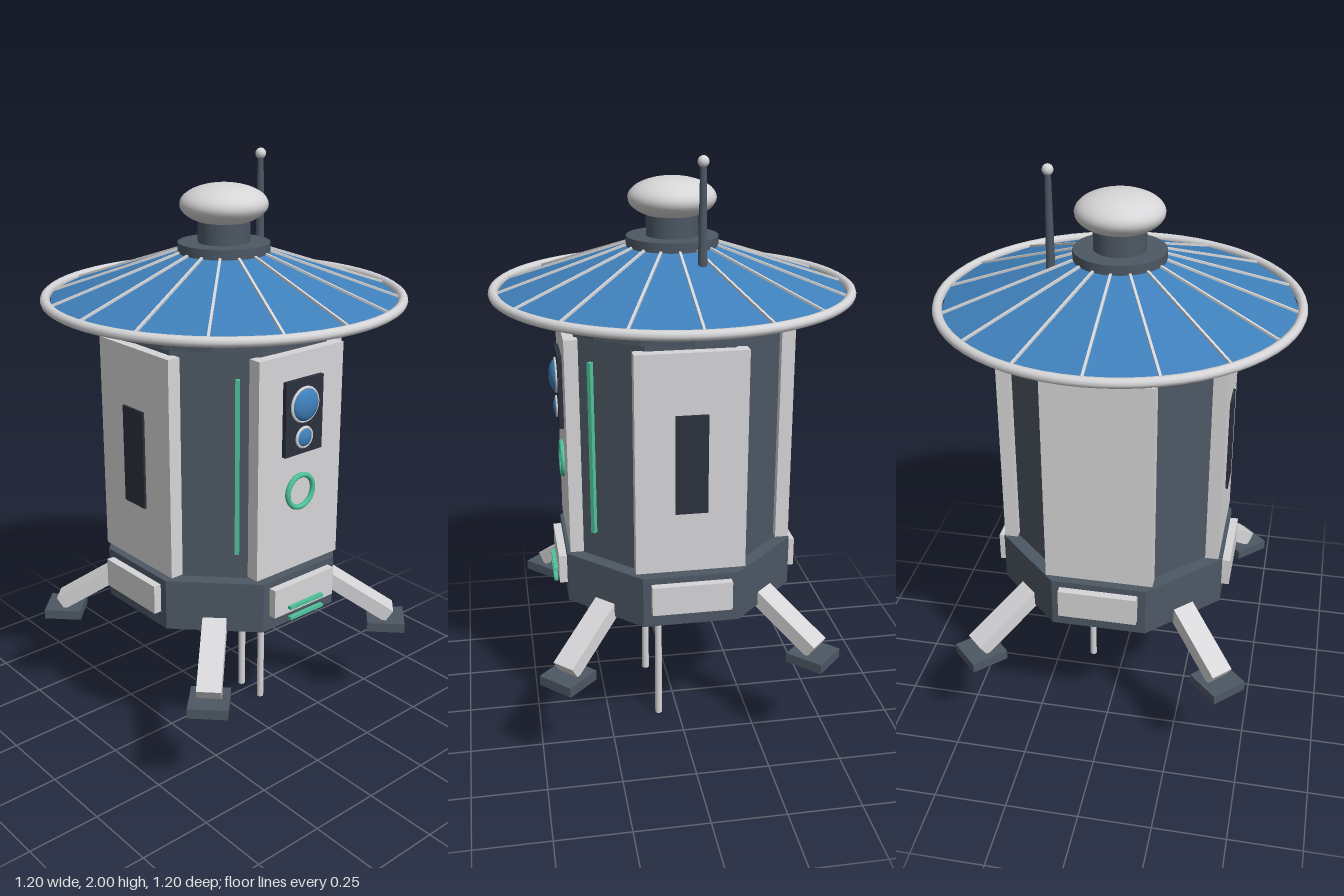
import * as THREE from 'three';

const mat = (name, color) => {
  const m = new THREE.MeshStandardMaterial({ color });
  m.name = name;
  return m;
};

export function createModel() {
  const model = new THREE.Group();
  model.name = 'fieldStation';

  const light = mat('lightGrey', 0xd6d6d8);
  const dark = mat('slateGrey', 0x4d5864);
  const black = mat('darkGlass', 0x2b313d);
  const blue = mat('solarBlue', 0x3f80bb);
  const green = mat('signalGreen', 0x4fc39b);

  const add = (name, geo, material, x = 0, y = 0, z = 0, parent = model) => {
    const m = new THREE.Mesh(geo, material);
    m.name = name;
    m.position.set(x, y, z);
    parent.add(m);
    return m;
  };
  const box = (w, h, d) => new THREE.BoxGeometry(w, h, d);
  const cyl = (rTop, rBottom, h, sides = 24) => new THREE.CylinderGeometry(rTop, rBottom, h, sides);
  const flat = (geo) => {
    const g = geo.toNonIndexed();
    g.computeVertexNormals();
    return g;
  };
  // Octagonal prism with a flat side facing the front
  const octagon = (apothem, h) => {
    const r = apothem / Math.cos(Math.PI / 8);
    return flat(cyl(r, r, h, 8).rotateY(Math.PI / 8));
  };
  // Group turned about the vertical axis, so its +z points outward
  const spoke = (name, angle) => {
    const g = new THREE.Group();
    g.name = name;
    g.rotation.y = angle;
    model.add(g);
    return g;
  };

  // Hull
  add('base', octagon(0.385, 0.175), dark, 0, 0.6025, 0);
  add('body', octagon(0.34, 0.79), dark, 0, 1.075, 0);
  add('collar', flat(cyl(0.41, 0.41, 0.068, 16)), dark, 0, 1.503, 0);

  // Wall panels and base boxes on four sides, windows on the two flanks
  for (let i = 0; i < 4; i++) {
    const side = spoke('side', i * Math.PI / 2);
    add('wallPanel', box(0.36, 0.735, 0.045), light, 0, 1.0725, 0.3525, side);
    add('baseBox', box(0.265, 0.1, 0.04), light, 0, 0.618, 0.392, side);
    if (i % 2) add('sideWindow', box(0.105, 0.33, 0.009), black, 0, 1.075, 0.3785, side);
  }

  // Green light strips on the front corners
  for (const s of [-1, 1]) {
    const corner = spoke('frontCorner', s * Math.PI / 4);
    add('lightStrip', box(0.014, 0.59, 0.02), green, -s * 0.07, 1.075, 0.345, corner);
  }

  // Front instruments
  add('instrumentPlate', box(0.16, 0.247, 0.018), black, 0, 1.233, 0.381);
  for (const [r, y] of [[0.055, 1.272], [0.032, 1.163]]) {
    const lens = add('lens', new THREE.SphereGeometry(r, 24, 16), blue, 0, y, 0.389);
    lens.scale.z = 0.48;
    add('lensRing', new THREE.TorusGeometry(r, 0.0055, 8, 32), light, 0, y, 0.391);
  }
  add('statusRing', new THREE.TorusGeometry(0.055, 0.009, 10, 40), green, 0, 0.975, 0.38);
  for (const y of [0.59, 0.552]) {
    add('statusBar', box(0.148, 0.011, 0.014), green, 0, y, 0.42);
  }

  // Solar roof with ribs and rim
  const rIn = 0.15, rOut = 0.575, yTop = 1.695, yLow = 1.55;
  add('solarRoof', flat(cyl(rIn, rOut, yTop - yLow, 16)), blue, 0, (yTop + yLow) / 2, 0);
  const slope = Math.atan2(yTop - yLow, rOut - rIn);
  const ribLength = Math.hypot(yTop - yLow, rOut - rIn);
  for (let i = 0; i < 16; i++) {
    const g = spoke('roofSpoke', i * Math.PI / 8);
    const rib = add('roofRib', box(0.008, 0.01, ribLength), light,
      0, (yTop + yLow) / 2 + 0.002, (rIn + rOut) / 2, g);
    rib.rotation.x = slope;
  }
  add('roofRim', new THREE.TorusGeometry(0.582, 0.016, 10, 64).rotateX(Math.PI / 2), light, 0, 1.553, 0);

  // Cap, neck and dome
  add('roofCap', cyl(0.15, 0.15, 0.04, 32), dark, 0, 1.706, 0);
  add('neck', cyl(0.085, 0.085, 0.09), dark, 0, 1.76, 0);
  const dome = add('dome', new THREE.SphereGeometry(0.143, 32, 20), light, 0, 1.846, 0);
  dome.scale.y = 0.46;

  // Antenna
  add('antenna', cyl(0.01, 0.015, 0.32, 12), dark, 0.21, 1.822, -0.06);
  add('antennaTip', new THREE.SphereGeometry(0.018, 16, 12), light, 0.21, 1.982, -0.06);

  // Four splayed legs with foot pads
  for (let i = 0; i < 4; i++) {
    const leg = spoke('leg', Math.PI / 4 + i * Math.PI / 2);
    const top = [0.34, 0.56], low = [0.595, 0.4];
    const dr = low[0] - top[0], dy = top[1] - low[1];
    const strut = add('strut', box(0.08, 0.052, Math.hypot(dr, dy)), light,
      0, (top[1] + low[1]) / 2, (top[0] + low[0]) / 2, leg);
    strut.rotation.x = Math.atan2(dy, dr);
    add('footPad', box(0.13, 0.034, 0.132), dark, 0, 0.367, 0.584, leg);
  }

  // Ground probes of three lengths
  for (const [x, z, bottom] of [[-0.12, 0.07, 0.245], [0, 0.1, 0.12], [0.12, 0.07, 0]]) {
    add('probe', cyl(0.0125, 0.0125, 0.53 - bottom, 12), light, x, (0.53 + bottom) / 2, z);
  }

  return model;
}
